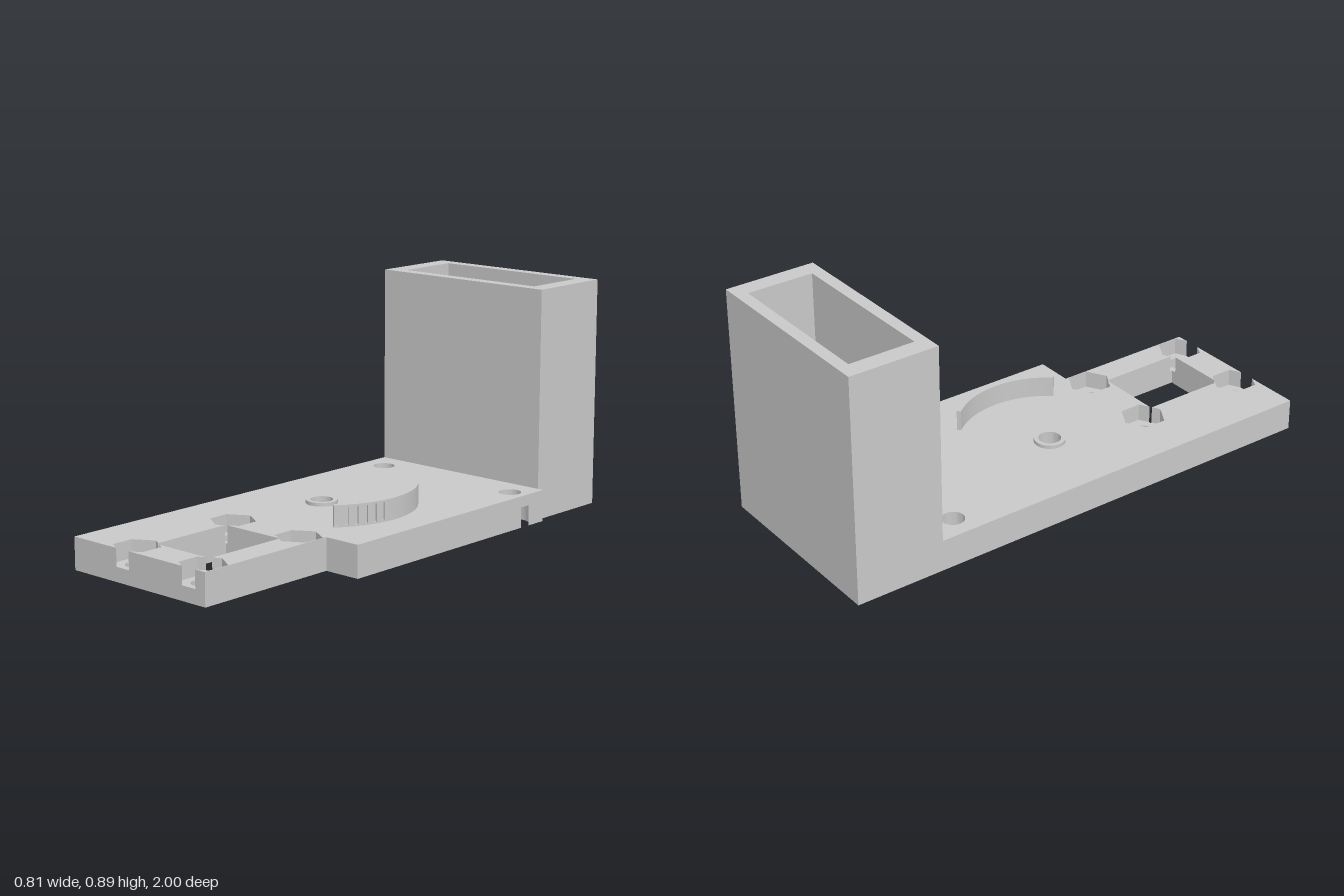
import * as THREE from 'three';
import { toCreasedNormals } from 'three/addons/utils/BufferGeometryUtils.js';

const grey = new THREE.MeshStandardMaterial({ color: 0xc8c8c8 });
grey.name = 'plain grey';

const MID = 0.012;       // mirror axis of the motor window and nut pockets
const HOLE = 0.043;      // screw hole radius
const NUT = 0.086;       // nut pocket radius, corner to centre
const BORE = 0.0765;     // screw head counterbore radius
const TOP = 0.123;       // plate thickness
const POCKET = 0.055;    // floor of the top nut pockets
const BORE_TOP = 0.08;   // roof of the counterbores

// Plan outlines are given as [x, z]; outer edges run one way, holes the other
function toVectors(pts, clockwise) {
  const vectors = pts.map(([x, z]) => new THREE.Vector2(x, -z));
  return THREE.ShapeUtils.isClockWise(vectors) === clockwise ? vectors : vectors.reverse();
}
const mirror = (pts) => pts.map(([x, z]) => [2 * MID - x, z]).reverse();
const rect = (x0, x1, z0, z1) => [[x0, z0], [x1, z0], [x1, z1], [x0, z1]];

function arc(x, z, r, from, to, n = 32) {
  const pts = [];
  for (let i = 0; i <= n; i++) {
    const a = from + (to - from) * i / n;
    pts.push([x + r * Math.cos(a), z + r * Math.sin(a)]);
  }
  return pts;
}
const circle = (x, z, r) => arc(x, z, r, 0, Math.PI * 2, 32).slice(0, -1);
const hexagon = (x, z, r) => arc(x, z, r, Math.PI / 6, Math.PI * 13 / 6, 6).slice(0, -1);

// Raises a plan outline with holes from y0 to y1
function slab(name, outline, holes, y0, y1) {
  const shape = new THREE.Shape(toVectors(outline, false));
  holes.forEach((h) => shape.holes.push(new THREE.Path(toVectors(h, true))));
  const geo = new THREE.ExtrudeGeometry(shape, { depth: y1 - y0, bevelEnabled: false });
  geo.rotateX(-Math.PI / 2).translate(0, y0, 0);
  const mesh = new THREE.Mesh(toCreasedNormals(geo, 0.45), grey);
  mesh.name = name;
  return mesh;
}

export function createModel() {
  const model = new THREE.Group();
  model.name = 'motorMount';

  // Base plate, in three layers
  const plate = new THREE.Group();
  plate.name = 'basePlate';
  const cornerHoles = [[-0.308, -0.533], [0.332, -0.533]];
  const boss = [-0.087, 0.067];

  // Right-hand counterbore breaks through the side wall
  const edge = Math.acos((0.405 - cornerHoles[1][0]) / BORE);
  const brokenSide = arc(...cornerHoles[1], BORE, -edge, -Math.PI * 2 + edge);
  const back = [[-0.405, -0.645], [0.405, -0.645]];
  const step = [[0.405, 0.41], [0.256, 0.41], [0.256, 1]];
  const bores = [circle(...cornerHoles[0], BORE), hexagon(...boss, NUT)];

  // Left half of the opening formed by front pocket, window and rear pocket
  const halfOpening = [
    [-0.115, 0.532], [-0.077, 0.51], [-0.077, 0.424], [-0.153, 0.38],
    [-0.229, 0.424], [-0.229, 0.51], [-0.153, 0.554], [-0.123, 0.537],
    [-0.123, 0.861], [-0.153, 0.844], [-0.229, 0.888], [-0.229, 0.976], [-0.185, 1],
  ];
  const opening = [...mirror(halfOpening), ...halfOpening];
  const halfBridge = [[-0.121, 1], [-0.077, 0.976], [-0.077, 0.888], [-0.1045, 0.872]];

  const screwHoles = [];
  for (const x of [-0.153, 0.177])
    for (const z of [0.467, 0.932]) screwHoles.push(circle(x, z, HOLE));

  plate.add(slab('plateBottom', [...back, ...brokenSide, ...step, [-0.405, 1]],
    [...bores, ...screwHoles, rect(-0.123, 0.147, 0.532, 0.872)], 0, POCKET));
  plate.add(slab('plateMiddle', [...back, ...brokenSide, ...step, ...opening, [-0.405, 1]],
    bores, POCKET, BORE_TOP));
  plate.add(slab('plateTop', [...back, ...step, ...opening, [-0.405, 1]],
    [...cornerHoles, boss].map(([x, z]) => circle(x, z, HOLE)), BORE_TOP, TOP));
  plate.add(slab('frontBridge', [...halfBridge, ...mirror(halfBridge)], [], POCKET, TOP));
  model.add(plate);

  // Raised ring around the pivot hole
  model.add(slab('pivotRing', circle(...boss, 0.06), [circle(...boss, HOLE)], TOP, 0.137));

  // Curved rib centred on the pivot, with grooves on its outer face
  const rib = new THREE.Group();
  rib.name = 'curvedRib';
  const deg = Math.PI / 180;
  const end = 40 * deg;
  const inner = arc(...boss, 0.343, end, -end);
  const smooth = [...arc(...boss, 0.36, -end, end), ...inner];
  const grooved = [];
  let from = -end;
  for (let i = 0; i < 6; i++) {
    const a = (7.5 + i * 6) * deg, b = a + 2 * deg;
    grooved.push(...arc(...boss, 0.36, from, a, i ? 2 : 16), ...arc(...boss, 0.352, a, b, 1));
    from = b;
  }
  grooved.push(...arc(...boss, 0.36, from, end, 1));
  rib.add(slab('ribFoot', smooth, [], TOP, 0.13));
  rib.add(slab('ribGrooves', [...grooved, ...inner], [], 0.13, 0.197));
  rib.add(slab('ribCap', smooth, [], 0.197, 0.205));
  model.add(rib);

  // Tall open-topped box at the back
  const box = new THREE.Group();
  box.name = 'backBox';
  const outer = rect(-0.405, 0.38, -1, -0.645);
  box.add(slab('boxFloor', outer, [], 0, 0.07));
  box.add(slab('boxWalls', outer, [rect(-0.332, 0.308, -0.953, -0.693)], 0.07, 0.893));
  model.add(box);

  return model;
}
